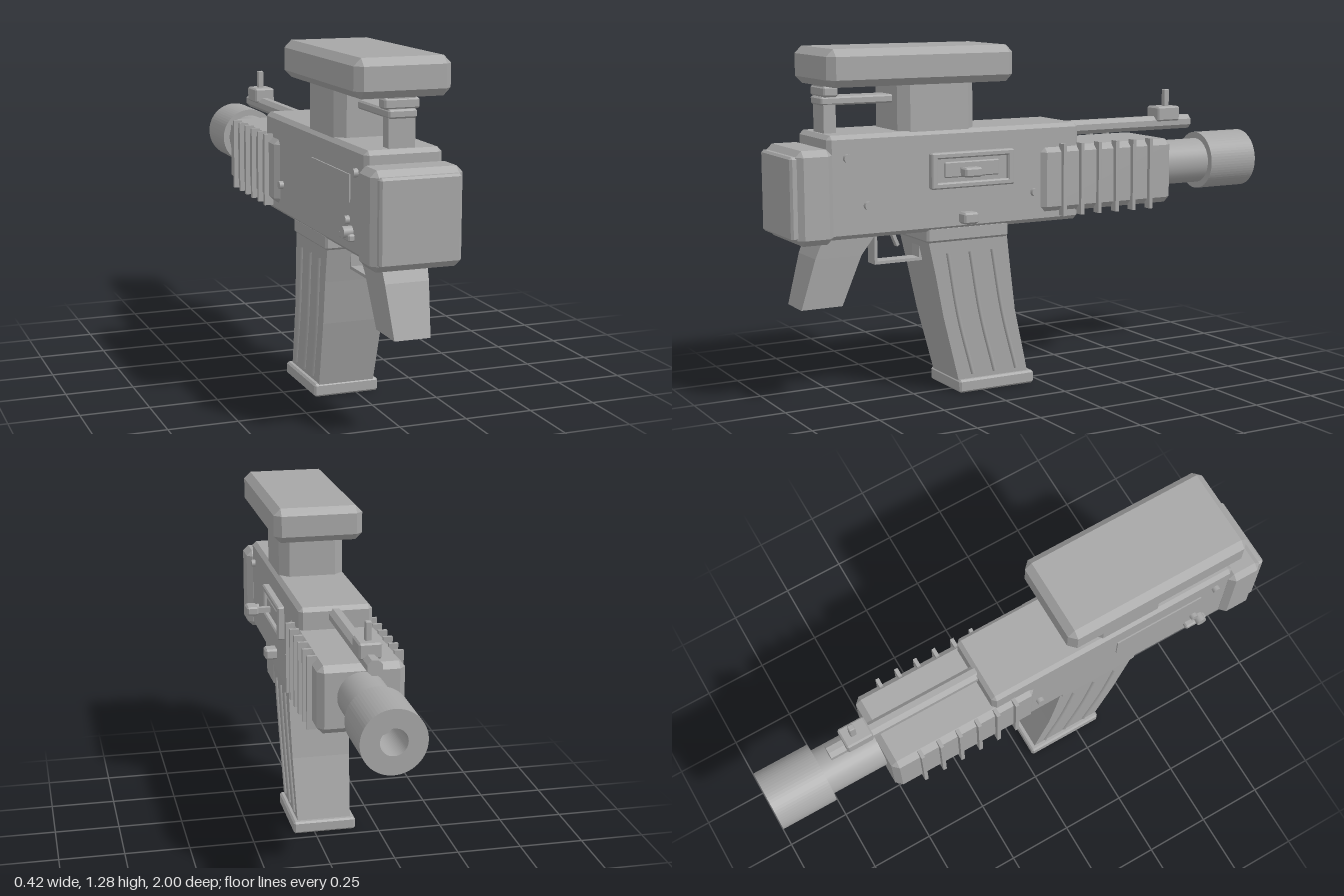
import * as THREE from 'three';
import { ConvexGeometry } from 'three/addons/geometries/ConvexGeometry.js';

export function createModel() {
  const model = new THREE.Group();
  const body = new THREE.Group();
  body.name = 'body';
  body.position.x = -0.04; // side knob sticks out, so the body sits off centre
  model.add(body);

  const grey = new THREE.MeshStandardMaterial({ color: 0xa6a6a6 });
  grey.name = 'grey';

  const add = (name, geometry) => {
    const mesh = new THREE.Mesh(geometry, grey);
    mesh.name = name;
    body.add(mesh);
    return mesh;
  };

  // Box given by its limits, with chamfered edges when c > 0
  const box = (name, x0, x1, y0, y1, z0, z1, c = 0) => {
    const h = [(x1 - x0) / 2, (y1 - y0) / 2, (z1 - z0) / 2];
    let geometry;
    if (c > 0) {
      const points = [];
      for (const sx of [-1, 1]) for (const sy of [-1, 1]) for (const sz of [-1, 1]) {
        for (let axis = 0; axis < 3; axis++) {
          const p = h.map((v, i) => (i === axis ? v : v - c));
          points.push(new THREE.Vector3(sx * p[0], sy * p[1], sz * p[2]));
        }
      }
      geometry = new ConvexGeometry(points);
    } else {
      geometry = new THREE.BoxGeometry(h[0] * 2, h[1] * 2, h[2] * 2);
    }
    const mesh = add(name, geometry);
    mesh.position.set((x0 + x1) / 2, (y0 + y1) / 2, (z0 + z1) / 2);
    return mesh;
  };

  // Solid through rectangular sections [y, back z, front z, half width], top to bottom
  const loft = (name, sections) => {
    const pos = [], index = [];
    for (const [y, zb, zf, w] of sections) pos.push(-w, y, zf, w, y, zf, w, y, zb, -w, y, zb);
    const last = sections.length - 1;
    for (let s = 0; s < last; s++) {
      for (let i = 0; i < 4; i++) {
        const a = s * 4 + i, b = s * 4 + (i + 1) % 4;
        index.push(a, a + 4, b, b, a + 4, b + 4);
      }
    }
    const e = last * 4;
    index.push(0, 1, 2, 0, 2, 3, e, e + 2, e + 1, e, e + 3, e + 2);
    let g = new THREE.BufferGeometry();
    g.setAttribute('position', new THREE.Float32BufferAttribute(pos, 3));
    g.setIndex(index);
    g = g.toNonIndexed();
    g.computeVertexNormals();
    return add(name, g);
  };

  // Cylinder along z
  const rod = (name, r, y, z0, z1, sides) => {
    const g = new THREE.CylinderGeometry(r, r, z1 - z0, sides).rotateX(Math.PI / 2);
    const mesh = add(name, g);
    mesh.position.set(0, y, (z0 + z1) / 2);
    return mesh;
  };

  // Main housing and end block
  box('receiver', -0.137, 0.137, 0.615, 0.98, -0.15, 0.86, 0.015);
  box('endBlock', -0.16, 0.16, 0.605, 0.935, 0.845, 0.98, 0.022);
  box('endPlate', -0.142, 0.142, 0.625, 0.915, 0.96, 1.0, 0.008);

  // Handguard with side ribs
  box('handguard', -0.155, 0.155, 0.65, 0.897, -0.565, 0.02, 0.022);
  for (const side of [-1, 1]) {
    for (let i = 0; i < 6; i++) {
      const z = -0.07 - i * 0.077;
      const x = side * 0.155;
      box('handguardRib', x - 0.017, x + 0.017, 0.635, 0.905, z - 0.007, z + 0.007);
    }
  }

  // Barrel and hollow muzzle
  rod('barrel', 0.088, 0.785, -0.82, -0.54, 32);
  const ring = new THREE.Shape().absarc(0, 0, 0.113, 0, Math.PI * 2);
  ring.holes.push(new THREE.Path().absarc(0, 0, 0.047, 0, Math.PI * 2, true));
  add('muzzle', new THREE.ExtrudeGeometry(ring, { depth: 0.215, bevelEnabled: false, curveSegments: 32 }))
    .position.set(0, 0.785, -1);

  // Upper tube with front sight
  const tube = rod('upperTube', 0.029, 0.945, -0.74, -0.11, 8);
  tube.rotation.z = Math.PI / 8;
  tube.geometry = tube.geometry.toNonIndexed();
  tube.geometry.computeVertexNormals();
  box('frontSightBlock', -0.04, 0.04, 0.953, 1.01, -0.678, -0.575, 0.006);
  box('frontSightPost', -0.011, 0.011, 1.0, 1.076, -0.647, -0.624, 0.003);

  // Top housing on its pedestal
  box('topHousing', -0.17, 0.17, 1.145, 1.277, 0.14, 0.863, 0.026);
  const w = 0.125, d = 0.15, c = 0.035;
  const plan = new THREE.Shape([
    [w - c, -d], [w, c - d], [w, d - c], [w - c, d], [c - w, d], [-w, d - c], [-w, c - d], [c - w, -d],
  ].map(([x, y]) => new THREE.Vector2(x, y)));
  add('pedestal', new THREE.ExtrudeGeometry(plan, { depth: 0.19, bevelEnabled: false }).rotateX(-Math.PI / 2))
    .position.set(0, 0.97, 0.425);
  box('rearPost', -0.047, 0.047, 0.97, 1.15, 0.79, 0.836);
  box('rearPostCap', -0.062, 0.062, 1.107, 1.143, 0.785, 0.84, 0.006);
  box('rearBrace', -0.05, 0.05, 1.077, 1.107, 0.56, 0.845, 0.006);

  // Curved magazine with ribs
  box('magazineCollar', -0.13, 0.13, 0.572, 0.63, 0.148, 0.48, 0.008);
  loft('magazine', [
    [0.59, 0.152, 0.475, 0.121],
    [0.45, 0.135, 0.443, 0.118],
    [0.29, 0.113, 0.41, 0.113],
    [0.04, 0.055, 0.345, 0.105],
  ]);
  box('magazineBase', -0.123, 0.123, 0, 0.048, 0.037, 0.35, 0.007);
  for (const side of [-1, 1]) {
    for (const z of [0.395, 0.304, 0.213]) {
      const path = new THREE.CatmullRomCurve3([
        new THREE.Vector3(side * 0.12, 0.53, z),
        new THREE.Vector3(side * 0.113, 0.29, z - 0.045),
        new THREE.Vector3(side * 0.106, 0.065, z - 0.107),
      ]);
      add('magazineRib', new THREE.TubeGeometry(path, 12, 0.008, 6));
    }
  }

  // Rear grip
  loft('grip', [
    [0.63, 0.65, 0.855, 0.083],
    [0.545, 0.715, 0.89, 0.078],
    [0.365, 0.785, 0.94, 0.064],
  ]);

  // Trigger and its guard
  box('guardRear', -0.03, 0.03, 0.495, 0.62, 0.632, 0.643);
  box('guardBottom', -0.03, 0.03, 0.495, 0.506, 0.46, 0.643);
  box('guardFront', -0.03, 0.03, 0.495, 0.58, 0.455, 0.466);
  box('trigger', -0.012, 0.012, 0.55, 0.63, 0.55, 0.562).rotation.x = 0.4;

  // Side opening frame, slide and knob
  const fx0 = 0.13, fx1 = 0.163;
  box('openingBack', 0.13, 0.145, 0.775, 0.895, 0.15, 0.47);
  box('openingFrameTop', fx0, fx1, 0.878, 0.9, 0.14, 0.475, 0.005);
  box('openingFrameBottom', fx0, fx1, 0.77, 0.792, 0.14, 0.475, 0.005);
  box('openingFrameEnd', fx0, fx1, 0.78, 0.89, 0.14, 0.165, 0.005);
  box('openingFrameEnd', fx0, fx1, 0.78, 0.89, 0.45, 0.475, 0.005);
  box('slide', 0.135, 0.155, 0.808, 0.865, 0.2, 0.42, 0.004);
  box('knobStem', 0.14, 0.21, 0.823, 0.843, 0.335, 0.358);
  box('knob', 0.205, 0.25, 0.818, 0.852, 0.318, 0.386, 0.006);
  box('releaseButton', 0.13, 0.183, 0.638, 0.68, 0.298, 0.357, 0.007);

  // Side panel and selector on the other side
  box('sidePanel', -0.142, -0.13, 0.79, 0.885, 0.37, 0.73);
  box('selectorLever', -0.158, -0.13, 0.665, 0.69, 0.68, 0.77, 0.005);
  const pivot = add('selectorPivot', new THREE.CylinderGeometry(0.02, 0.02, 0.04, 12).rotateZ(Math.PI / 2));
  pivot.position.set(-0.15, 0.695, 0.74);

  // Pins on both sides
  for (const side of [-1, 1]) {
    for (const [z, y] of [[0.79, 0.9], [0.715, 0.73], [0.045, 0.73]]) {
      const pin = add('pin', new THREE.CylinderGeometry(0.015, 0.015, 0.03, 12).rotateZ(Math.PI / 2));
      pin.position.set(side * 0.138, y, z);
    }
  }

  return model;
}
